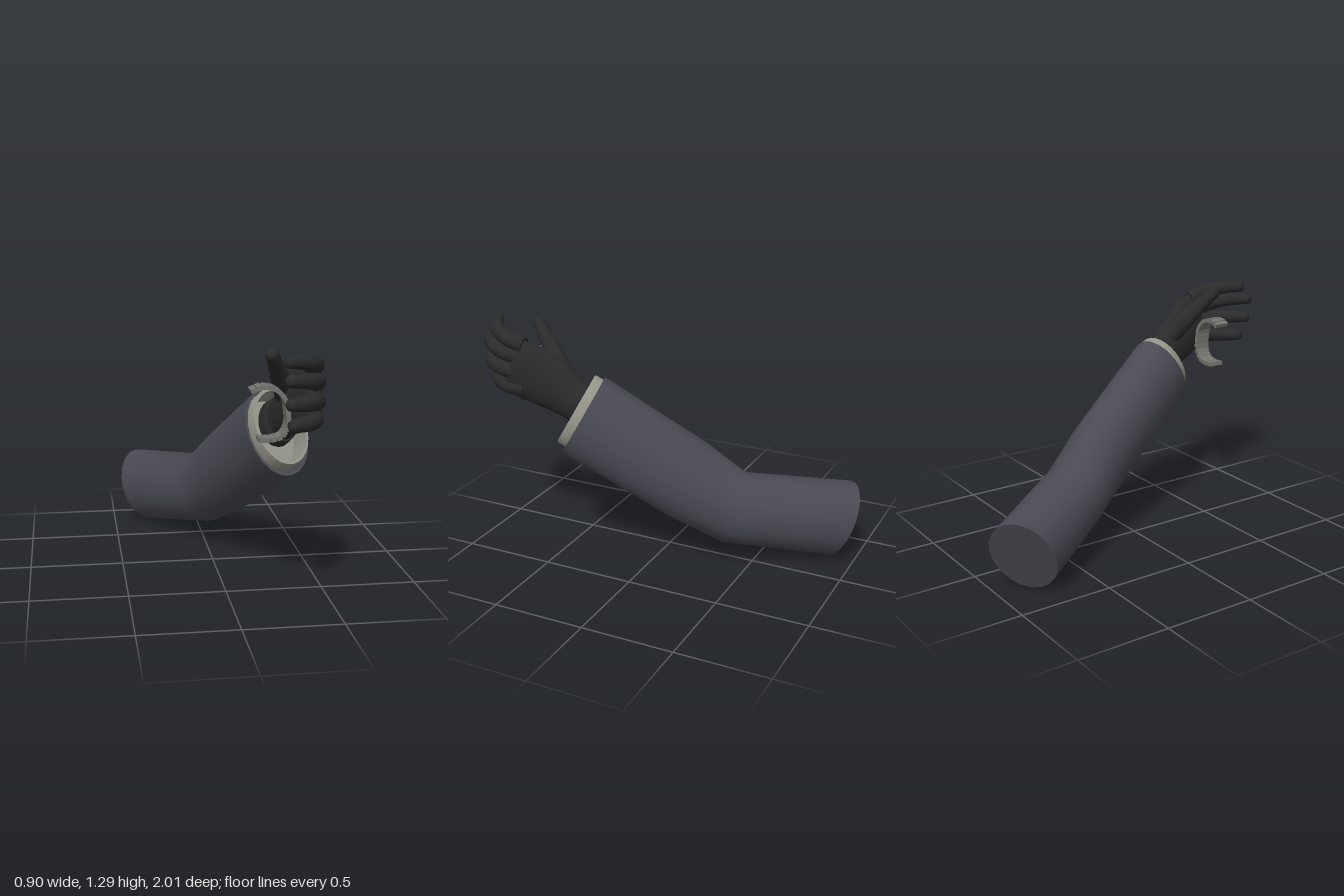
import * as THREE from 'three';
import { toCreasedNormals } from 'three/addons/utils/BufferGeometryUtils.js';

const V = (x, y, z) => new THREE.Vector3(x, y, z);
const mat = (name, color) => {
  const m = new THREE.MeshStandardMaterial({ color });
  m.name = name;
  return m;
};

// Skin elliptical sections {c, u, v} in order; u x v points along the loft
function loft(sections, sides, crease = 0.8) {
  const pos = [], idx = [];
  for (const { c, u, v } of sections) {
    for (let j = 0; j < sides; j++) {
      const a = (j / sides) * Math.PI * 2;
      const p = c.clone().addScaledVector(u, Math.cos(a)).addScaledVector(v, Math.sin(a));
      pos.push(p.x, p.y, p.z);
    }
  }
  for (let i = 0; i < sections.length - 1; i++) {
    for (let j = 0; j < sides; j++) {
      const a = i * sides + j, b = i * sides + ((j + 1) % sides);
      idx.push(a, b, a + sides, b, b + sides, a + sides);
    }
  }
  const g = new THREE.BufferGeometry();
  g.setAttribute('position', new THREE.Float32BufferAttribute(pos, 3));
  g.setIndex(idx);
  return toCreasedNormals(g, crease);
}

// Sweep an ellipse along stations [x, y, z, thickness, height] with rounded ends
function sweep(stations, sides, steps, endLength) {
  const curve = new THREE.CatmullRomCurve3(stations.map(s => V(s[0], s[1], s[2])));
  const ref = V(0, 0.92, -0.38);
  const sections = [];
  const add = (t, scale, shift) => {
    const d = curve.getTangent(t);
    const u = ref.clone().cross(d).normalize();
    const v = d.clone().cross(u);
    const f = t * (stations.length - 1);
    const i = Math.min(Math.floor(f), stations.length - 2);
    const size = k => THREE.MathUtils.lerp(stations[i][k], stations[i + 1][k], f - i) * scale;
    sections.push({
      c: curve.getPoint(t).addScaledVector(d, shift),
      u: u.multiplyScalar(size(3)), v: v.multiplyScalar(size(4)),
    });
  };
  add(0, 0, 0);
  for (let i = 0; i <= steps; i++) add(i / steps, 1, 0);
  for (const a of [0.5, 0.9, 1.25]) add(1, Math.cos(a), Math.sin(a) * endLength);
  add(1, 0, endLength);
  return loft(sections, sides, 1.1);
}

// Scaled, shifted copy of a section
const resize = (s, scale, shift) => ({
  c: s.c.clone().add(shift),
  u: s.u.clone().multiplyScalar(scale),
  v: s.v.clone().multiplyScalar(scale),
});

export function createModel() {
  const group = new THREE.Group();
  const sleeveMat = mat('sleeve slate', 0x4a4a54);
  const cuffMat = mat('cuff stone', 0x96958a);
  const gloveMat = mat('glove black', 0x2b2b2b);
  const bandMat = mat('band grey', 0x74736f);
  const add = (name, geo, m, parent = group) => {
    const mesh = new THREE.Mesh(geo, m);
    mesh.name = name;
    parent.add(mesh);
    return mesh;
  };

  // Sleeve: closed upper arm, bent elbow, open hollow end
  const none = V(0, 0, 0);
  const axis = V(0.28, 0.52, 0.8).normalize();
  const along = k => axis.clone().multiplyScalar(k);
  const shoulder = { c: V(-0.315, 0.207, -0.885), u: V(0.135, 0, -0.113), v: V(-0.045, 0.205, -0.065) };
  const elbow = { c: V(0.01, 0.31, -0.385), u: V(0.155, 0.025, -0.09), v: V(-0.06, 0.185, -0.05) };
  const forearm = { c: V(0.105, 0.465, -0.16), u: V(0.16, 0.01, -0.065), v: V(-0.055, 0.2, -0.09) };
  const opening = { c: V(0.28, 0.808, 0.375), u: V(0.158, 0.01, -0.06), v: V(-0.055, 0.207, -0.105) };
  add('sleeve', loft([
    resize(shoulder, 0, none), shoulder, elbow, forearm, opening,
    resize(opening, 0.93, none), resize(opening, 0.9, along(-0.2)),
  ], 20), sleeveMat);

  // Shirt cuff standing slightly out of the sleeve
  const cuff = { c: V(0.295, 0.845, 0.41), u: opening.u, v: opening.v };
  add('cuff', loft([
    resize(cuff, 0.88, along(-0.15)), resize(cuff, 0.88, along(-0.008)),
    resize(cuff, 0.86, none), resize(cuff, 0.8, none),
    resize(cuff, 0.76, along(-0.13)), resize(cuff, 0, along(-0.13)),
  ], 28), cuffMat);

  // Gloved hand
  const hand = new THREE.Group();
  hand.name = 'hand';
  group.add(hand);
  add('palm', sweep([
    [0.28, 0.82, 0.29, 0.085, 0.115],
    [0.31, 0.895, 0.405, 0.08, 0.115],
    [0.335, 0.97, 0.52, 0.075, 0.145],
    [0.365, 1.03, 0.63, 0.056, 0.168],
    [0.385, 1.06, 0.71, 0.042, 0.162],
  ], 20, 16, 0.04), gloveMat, hand);
  add('gloveHem', sweep([
    [0.285, 0.835, 0.31, 0.095, 0.128],
    [0.302, 0.875, 0.375, 0.09, 0.125],
  ], 20, 2, 0.012), gloveMat, hand);

  // Fingers curl toward the palm: [name, base y, base z, tip y, tip z, tip x]
  const fingers = [
    ['indexFinger', 1.185, 0.66, 1.255, 0.915, 0.225],
    ['middleFinger', 1.115, 0.69, 1.175, 0.97, 0.22],
    ['ringFinger', 1.03, 0.69, 1.065, 0.965, 0.225],
    ['littleFinger', 0.945, 0.66, 0.957, 0.925, 0.245],
  ];
  for (const [name, by, bz, ty, tz, tx] of fingers) {
    const at = (x, k, r) => [x, by + (ty - by) * k, bz + (tz - bz) * k, r, r * 1.05];
    add(name, sweep([
      at(0.385, 0, 0.04), at(0.388, 0.35, 0.041), at(0.35, 0.68, 0.038),
      at(0.285, 0.89, 0.034), at(tx, 1, 0.029),
    ], 12, 14, 0.022), gloveMat, hand);
  }
  add('thumb', sweep([
    [0.315, 0.99, 0.45, 0.06, 0.065],
    [0.265, 1.1, 0.54, 0.052, 0.055],
    [0.22, 1.19, 0.625, 0.038, 0.042],
    [0.188, 1.255, 0.685, 0.034, 0.036],
  ], 12, 12, 0.03), gloveMat, hand);

  // Open linked band curling through the palm
  const band = new THREE.Group();
  band.name = 'linkedBand';
  group.add(band);
  const path = new THREE.CatmullRomCurve3([
    V(0.085, 1.08, 0.67), V(0.145, 1.1, 0.67), V(0.21, 1.085, 0.67), V(0.255, 1.035, 0.67),
    V(0.268, 0.97, 0.67), V(0.268, 0.91, 0.67), V(0.24, 0.86, 0.67), V(0.19, 0.843, 0.67), V(0.125, 0.845, 0.67),
  ]);
  const count = 17, length = path.getLength() / count;
  const linkGeo = new THREE.BoxGeometry(length * 0.88, 0.022, 0.085);
  const pinGeo = new THREE.BoxGeometry(length * 0.4, 0.014, 0.07);
  const place = (mesh, t) => {
    const d = path.getTangentAt(t);
    mesh.position.copy(path.getPointAt(t));
    mesh.rotation.z = Math.atan2(d.y, d.x);
  };
  for (let i = 0; i < count; i++) {
    place(add('bandLink', linkGeo, bandMat, band), (i + 0.5) / count);
    if (i > 0) place(add('bandPin', pinGeo, bandMat, band), i / count);
  }
  return group;
}
